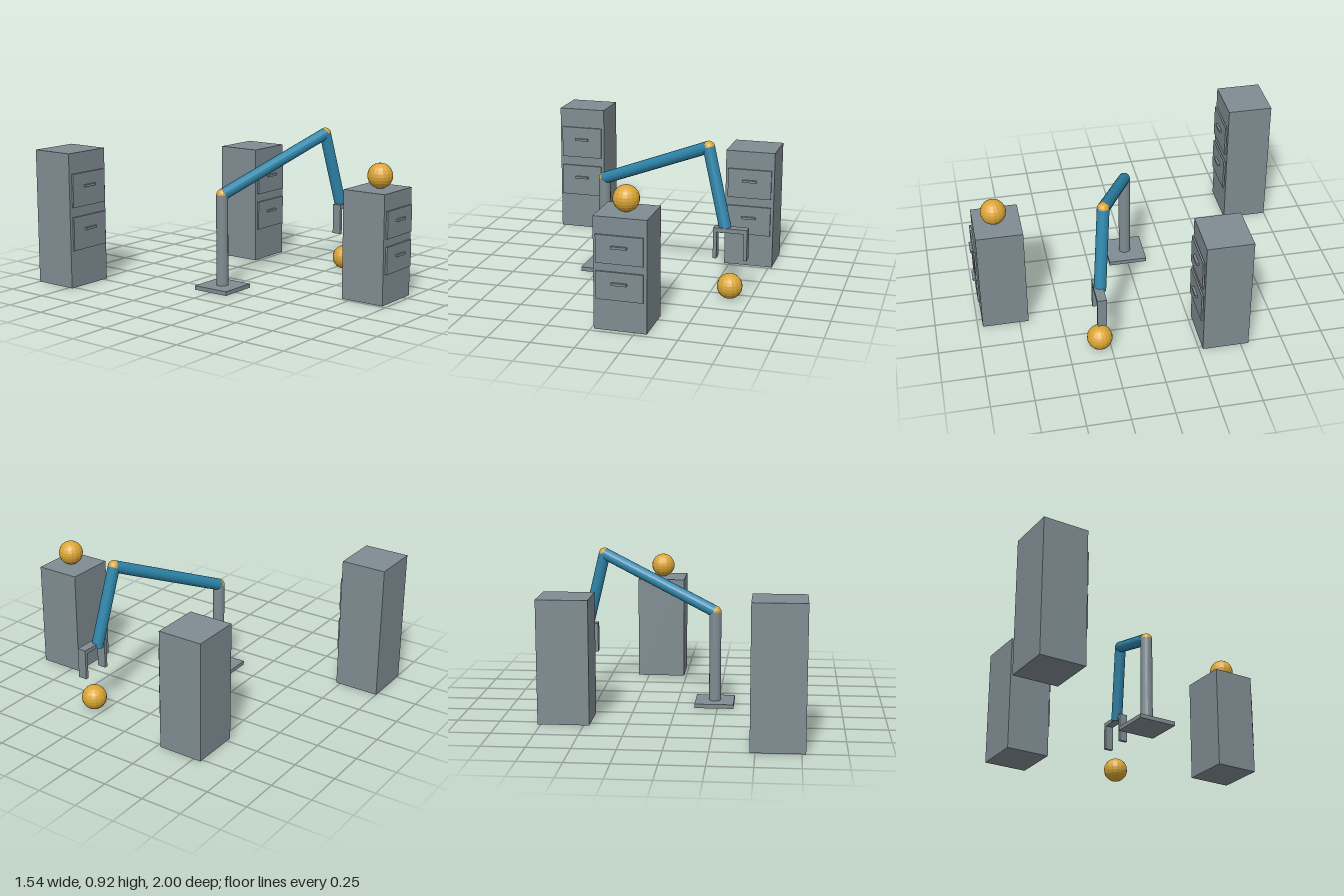
import * as THREE from 'three';

export function createModel() {
  const model = new THREE.Group();
  model.name = 'robotArmAndCabinets';

  const mat = (name, color) => {
    const m = new THREE.MeshStandardMaterial({ color, flatShading: true });
    m.name = name;
    return m;
  };
  const grey = mat('steel grey', 0x7f8c92);
  const blue = mat('arm blue', 0x2e86ab);
  const amber = mat('amber', 0xdba636);

  const add = (parent, name, geometry, material, x, y, z) => {
    const mesh = new THREE.Mesh(geometry, material);
    mesh.name = name;
    mesh.position.set(x, y, z);
    parent.add(mesh);
    return mesh;
  };
  const box = (parent, name, w, h, d, x, y, z) =>
    add(parent, name, new THREE.BoxGeometry(w, h, d), grey, x, y, z);
  const ball = (parent, name, r, p) =>
    add(parent, name, new THREE.SphereGeometry(r, 16, 12), amber, p.x, p.y, p.z);
  // Cylinder running between two points
  const limb = (parent, name, r, a, b, material) => {
    const dir = b.clone().sub(a);
    const mid = a.clone().lerp(b, 0.5);
    const mesh = add(parent, name, new THREE.CylinderGeometry(r, r, dir.length(), 16),
      material, mid.x, mid.y, mid.z);
    mesh.quaternion.setFromUnitVectors(new THREE.Vector3(0, 1, 0), dir.normalize());
  };

  // Cabinets: body, two drawer fronts and their handles
  const W = 0.303, D = 0.275;
  const cabinet = (name, x, z, h) => {
    const g = new THREE.Group();
    g.name = name;
    g.position.set(x, 0, z);
    box(g, 'cabinetBody', W, h, D, 0, h / 2, 0);
    for (const level of [0.405, 0.725]) {
      box(g, 'drawerFront', 0.27, h * 0.248, 0.011, 0, h * level, D / 2 + 0.0095);
      box(g, 'drawerHandle', 0.088, 0.014, 0.015, 0, h * (level + 0.025), D / 2 + 0.0225);
    }
    model.add(g);
  };
  cabinet('rearCabinet', -0.622, -0.8625, 0.82);
  cabinet('frontCabinet', 0.167, 0.8325, 0.65);
  cabinet('sideCabinet', 0.618, -0.41, 0.733);

  // Arm: base plate, column, two links and the joints between them
  const arm = new THREE.Group();
  arm.name = 'robotArm';
  model.add(arm);
  const R = 0.036;
  const foot = new THREE.Vector3(-0.23, 0.025, 0);
  const shoulder = new THREE.Vector3(-0.23, 0.575, 0);
  const elbow = new THREE.Vector3(0.48, 0.885, 0.257);
  const wrist = new THREE.Vector3(0.6, 0.405, 0.304);
  box(arm, 'basePlate', 0.236, 0.025, 0.236, -0.23, 0.0125, 0);
  limb(arm, 'column', R, foot, shoulder, grey);
  limb(arm, 'upperArm', R, shoulder, elbow, blue);
  limb(arm, 'forearm', R, elbow, wrist, blue);
  ball(arm, 'shoulderJoint', R, shoulder);
  ball(arm, 'elbowJoint', R, elbow);

  // Gripper: crossbar with two fingers
  const gripper = new THREE.Group();
  gripper.name = 'gripper';
  gripper.position.set(0.632, 0, 0.315);
  arm.add(gripper);
  box(gripper, 'gripperBar', 0.199, 0.025, 0.054, 0, 0.42, 0);
  for (const s of [-1, 1]) {
    box(gripper, 'gripperFinger', 0.021, 0.16, 0.054, s * 0.089, 0.3275, 0);
  }

  // Loose balls: one on the floor, one on the front cabinet
  ball(model, 'floorBall', 0.075, new THREE.Vector3(0.631, 0.077, 0.315));
  ball(model, 'cabinetBall', 0.075, new THREE.Vector3(0.167, 0.725, 0.847));

  return model;
}
